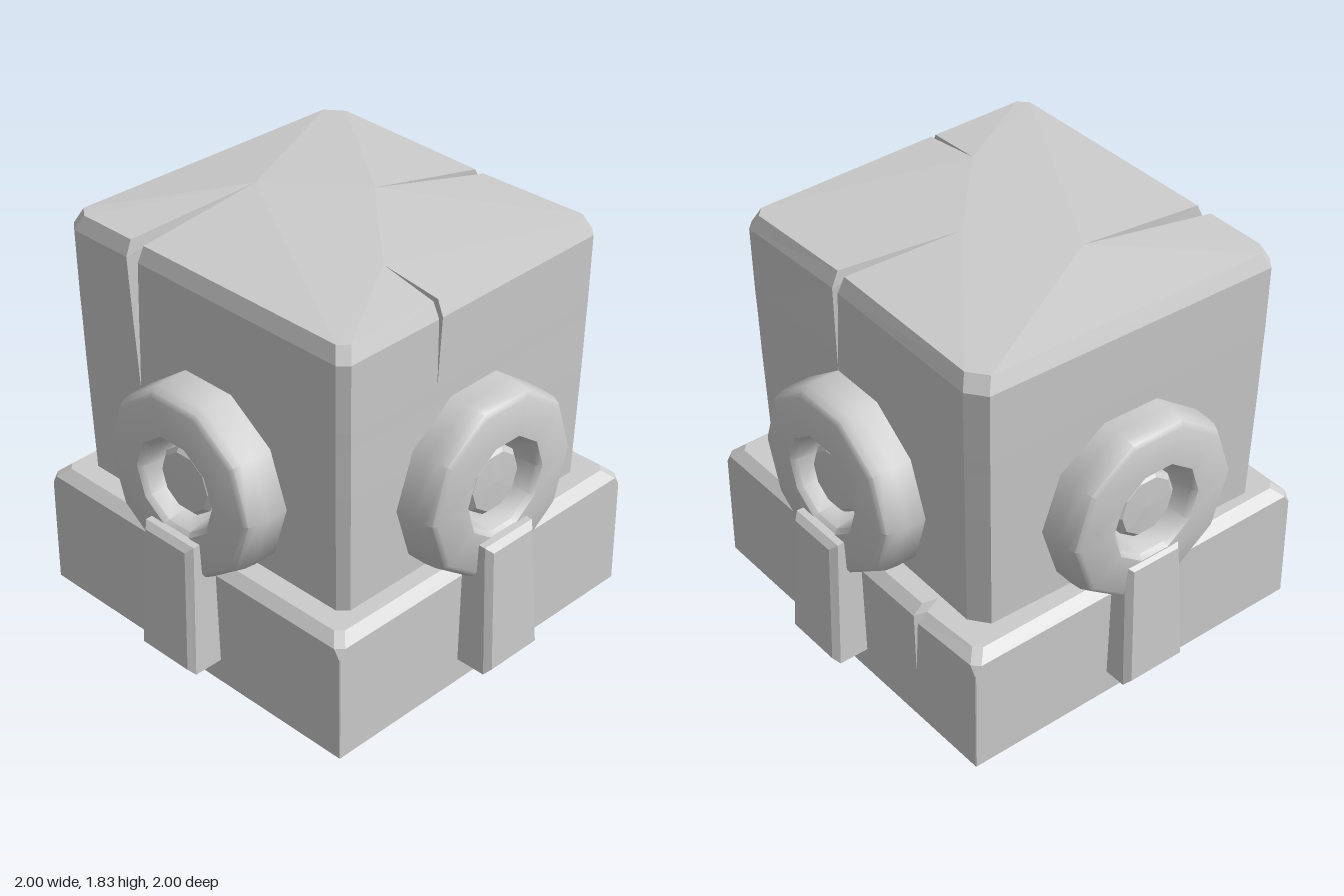
import * as THREE from 'three';
import { toCreasedNormals } from 'three/addons/utils/BufferGeometryUtils.js';

const stone = new THREE.MeshStandardMaterial({ color: 0xcccccc, flatShading: true });
const smoothStone = new THREE.MeshStandardMaterial({ color: 0xcccccc });

// Skin a stack of rings (counter-clockwise seen from above) and cap both ends
function loft(rings, topFaces) {
  const n = rings[0].length;
  const index = [];
  const cap = ring => THREE.ShapeUtils.triangulateShape(
    ring.map(p => new THREE.Vector2(p[0], -p[2])), []);
  for (let i = 0; i < rings.length - 1; i++) {
    for (let j = 0; j < n; j++) {
      const k = (j + 1) % n;
      const a = i * n + j, b = i * n + k, c = b + n, d = a + n;
      index.push(a, b, c, a, c, d);
    }
  }
  const last = (rings.length - 1) * n;
  for (const [a, b, c] of cap(rings[0])) index.push(a, c, b);
  for (const f of topFaces || cap(rings[rings.length - 1])) index.push(...f.map(v => v + last));
  const geo = new THREE.BufferGeometry();
  geo.setAttribute('position', new THREE.Float32BufferAttribute(rings.flat(2), 3));
  geo.setIndex(index);
  const flat = geo.toNonIndexed();
  flat.computeVertexNormals();
  return flat;
}

function addMesh(parent, name, geo, mat = stone) {
  const mesh = new THREE.Mesh(geo, mat);
  mesh.name = name;
  parent.add(mesh);
  return mesh;
}

// Three ring points of a wedge crack: it opens from its foot up to the top edge
function crack(lipA, lipB, foot, tip, footY, topY, y) {
  const t = Math.max(0, (y - footY) / (topY - footY));
  const mix = (p, q) => [p[0] + (q[0] - p[0]) * t, p[1] + (q[1] - p[1]) * t];
  return [mix(foot, lipA), mix(foot, tip), mix(foot, lipB)];
}

// Upper block with three cracks and a low peaked top
function blockGeometry() {
  const top = 1.765;
  const levels = [[0.5, 0.025], [1.1, 0.01], [1.32, 0.006], [1.4, 0.004], [1.7, 0], [top, 0.03]];
  const tipHeights = { 3: 1.8, 8: 1.825, 15: 1.825 };
  const rings = levels.map(([y, inset]) => {
    const f = 0.74 - inset, r = 0.73 - inset, b = -0.8 + inset, l = -0.725 + inset;
    const ring = [
      [l, f - 0.04], [l + 0.04, f],
      ...crack([-0.22, f], [-0.195, f], [-0.215, f], [-0.195, 0.43], 1.4, top, y),
      [r - 0.04, f - 0.01], [r, f - 0.05],
      ...crack([r - 0.015, 0.15], [r - 0.01, 0.1], [r - 0.005, 0.13], [0.2, 0], 1.32, top, y),
      [r + 0.01, b + 0.11], [r - 0.05, b + 0.03],
      [l + 0.04, b - 0.01], [l, b + 0.04],
      ...crack([l, -0.45], [l, -0.375], [l, -0.41], [-0.1, -0.37], 1.1, top, y),
    ];
    return ring.map(([x, z], i) => [x, y === top && tipHeights[i] ? tipHeights[i] : y, z]);
  });
  return loft(rings, [
    [16, 0, 15], [0, 3, 15], [0, 1, 3], [1, 2, 3],
    [3, 4, 5], [3, 5, 8], [5, 6, 8], [6, 7, 8], [15, 3, 8],
    [8, 9, 10], [8, 10, 11], [8, 11, 15], [11, 12, 15], [12, 13, 15], [13, 14, 15],
  ]);
}

// Plinth with bevelled top edges, clipped corners and one chipped crack
function baseGeometry() {
  const top = 0.57;
  const levels = [[0, 0, 0.003], [0.24, 0, 0.003], [0.49, 0, 0.004], [0.53, 0, 0.03], [top, 0.045, 0.03]];
  return loft(levels.map(([y, inset, c]) => {
    const f = 0.835 - inset, r = 0.84 - inset, b = -0.875 + inset, l = -0.84 + inset;
    return [
      [l, f - c], [l + c, f], [r - c, f], [r, f - c],
      ...crack([r, -0.485], [r + 0.015, -0.535], [r, -0.495], [r - 0.07, -0.5], 0.24, top, y),
      [r, b + c], [r - c, b], [l + c, b], [l, b + c],
    ].map(([x, z]) => [x, y, z]);
  }));
}

// Upright tapered tab, modelled facing +z
function tabGeometry() {
  const section = (depth, i) => [
    [-0.16 + i, 0.11 + i], [0.155 - i, 0.11 + i], [0.135 - i, 0.715 - i], [-0.145 + i, 0.715 - i],
  ].map(([x, h]) => [x, depth - 0.05 * (h - 0.11), -h]);
  return loft([section(0.72, 0), section(0.975, 0), section(1.0, 0.025)]).rotateX(Math.PI / 2);
}

// Ten-sided turned shape facing +z; profile is [radius, depth] pairs
function turned(profile) {
  const points = profile.map(([r, d]) => new THREE.Vector2(r, d));
  const geo = new THREE.LatheGeometry(points, 10, Math.PI / 10);
  geo.rotateX(Math.PI / 2);
  return geo;
}

export function createModel() {
  const model = new THREE.Group();
  model.name = 'stoneBlock';
  addMesh(model, 'base', baseGeometry());
  addMesh(model, 'upperBlock', blockGeometry());

  const ringGeo = toCreasedNormals(turned([
    [0.42, -0.06], [0.42, 0.09], [0.415, 0.14], [0.4, 0.175], [0.38, 0.19],
    [0.22, 0.195], [0.2, 0.175], [0.185, 0.08], [0.185, -0.06],
  ]), 0.7);
  const studGeo = turned([[0.15, -0.06], [0.15, 0.12], [0.13, 0.14], [0.0001, 0.145]]);
  const tabGeo = tabGeometry();

  // Ring, stud and tab on each of the four sides
  const sides = [['front', 0, 0.72], ['left', 1, 0.72], ['back', 2, 0.76], ['right', 3, 0.72]];
  for (const [name, turn, offset] of sides) {
    const side = new THREE.Group();
    side.name = name + 'Side';
    side.rotation.y = turn * Math.PI / 2;
    addMesh(side, 'ring', ringGeo, smoothStone).position.set(0, 0.92, offset);
    addMesh(side, 'stud', studGeo).position.set(0, 0.92, offset);
    addMesh(side, 'tab', tabGeo);
    model.add(side);
  }
  return model;
}
